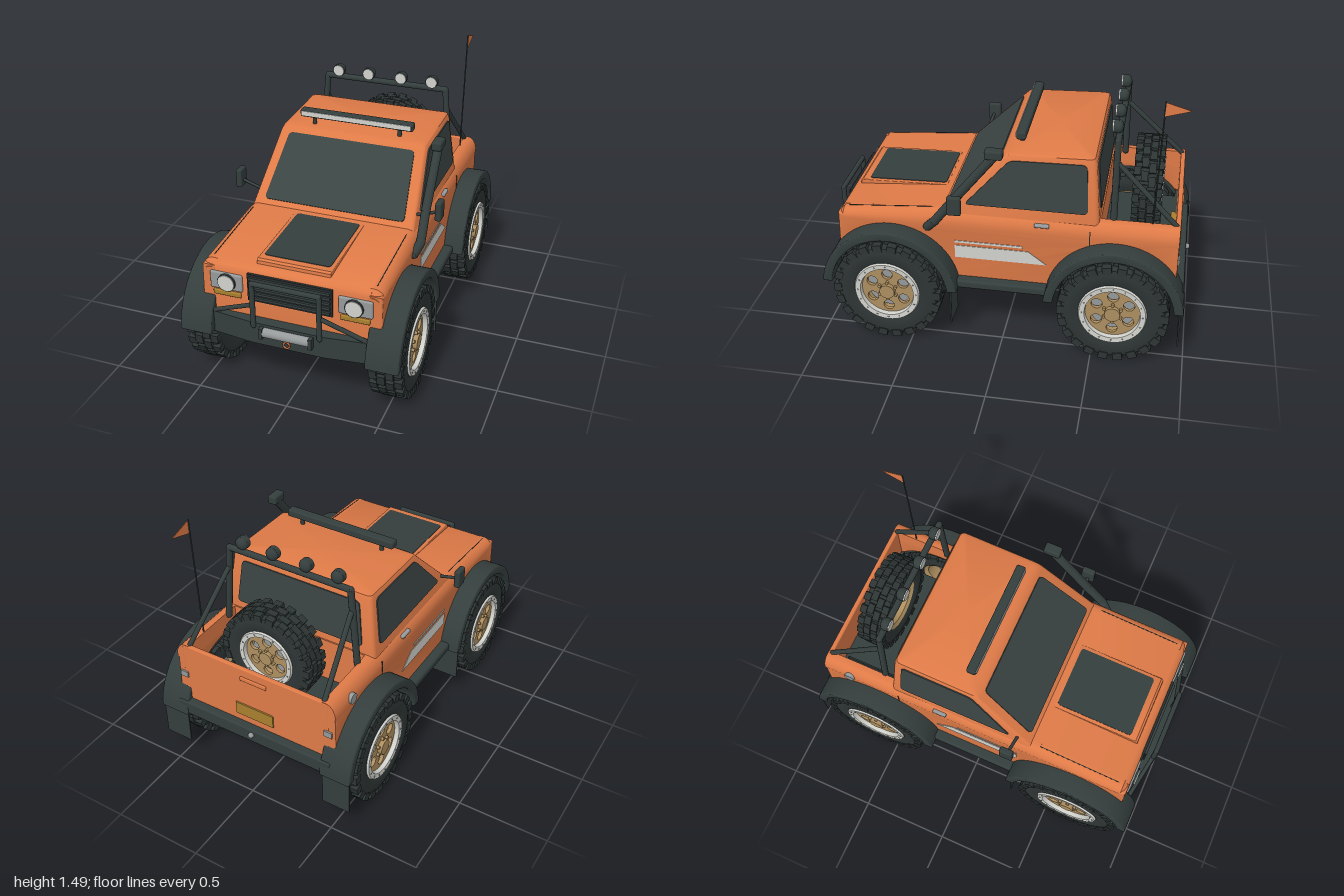
import * as THREE from 'three';
import { mergeGeometries, toCreasedNormals } from 'three/addons/utils/BufferGeometryUtils.js';
import { RoundedBoxGeometry } from 'three/addons/geometries/RoundedBoxGeometry.js';

const mat = (name, hex, side = THREE.FrontSide) => {
  const m = new THREE.MeshStandardMaterial({ color: hex, side });
  m.name = name;
  return m;
};
const V = (p) => new THREE.Vector3(...p);
const shapeOf = (pts) => new THREE.Shape(pts.map((p) => new THREE.Vector2(...p)));

export function createModel() {
  const model = new THREE.Group();
  model.name = 'pickupTruck';
  const paint = mat('orangePaint', 0xde7a47, THREE.DoubleSide), trim = mat('darkTrim', 0x343e3d);
  const rubber = mat('tyreRubber', 0x2d3534), glass = mat('darkGlass', 0x3a4443);
  const tan = mat('tanRim', 0xae8f60, THREE.DoubleSide), silver = mat('silver', 0x969a9a);
  const white = mat('lightGrey', 0xd2d2cd), amber = mat('amber', 0xa8802f), under = mat('underbody', 0x262c2d);

  const add = (name, geo, m, parent = model) => {
    const mesh = new THREE.Mesh(geo, m);
    mesh.name = name;
    parent.add(mesh);
    return mesh;
  };
  // Box given by its limits on each axis
  const box = (name, [x0, x1], [y0, y1], [z0, z1], m, r = 0) => {
    const s = [x1 - x0, y1 - y0, z1 - z0];
    const g = r ? new RoundedBoxGeometry(...s, 2, r) : new THREE.BoxGeometry(...s);
    return add(name, g.translate((x0 + x1) / 2, (y0 + y1) / 2, (z0 + z1) / 2), m);
  };
  // Round bars along a polyline, with ball joints
  const bars = (name, pts, r, m) => {
    const parts = [];
    pts.map(V).forEach((p, i, all) => {
      parts.push(new THREE.SphereGeometry(r, 10, 8).translate(p.x, p.y, p.z));
      if (!i) return;
      const d = p.clone().sub(all[i - 1]), mid = p.clone().add(all[i - 1]).multiplyScalar(0.5);
      const q = new THREE.Quaternion().setFromUnitVectors(V([0, 1, 0]), d.clone().normalize());
      parts.push(new THREE.CylinderGeometry(r, r, d.length(), 12).applyQuaternion(q).translate(mid.x, mid.y, mid.z));
    });
    return add(name, mergeGeometries(parts), m);
  };
  const disc = (r, depth, x, y, z, n = 24) =>
    new THREE.CylinderGeometry(r, r, depth, n).rotateX(Math.PI / 2).translate(x, y, z);
  // Side outline (z, y) extruded across x
  const extrudeX = (pts, x0, x1, bevel = 0) => {
    const g = new THREE.ExtrudeGeometry(shapeOf(pts), {
      depth: x1 - x0 - 2 * bevel, bevelEnabled: bevel > 0, bevelSize: bevel, bevelThickness: bevel, bevelOffset: -bevel, bevelSegments: 3,
    });
    return toCreasedNormals(g.rotateY(-Math.PI / 2).translate(x1 - bevel, 0, 0), 0.6);
  };
  // Thin flat plate with rounded corners, counterclockwise from outside
  const plate = (name, corners, m, r = 0.02, depth = 0.007) => {
    const p = corners.map(V), u = p[1].clone().sub(p[0]).normalize();
    const n = u.clone().cross(p[2].clone().sub(p[0])).normalize(), v = n.clone().cross(u);
    const f = p.map((c) => c.clone().sub(p[0])).map((c) => new THREE.Vector2(c.dot(u), c.dot(v)));
    const s = new THREE.Shape();
    f.forEach((c, i) => {
      const step = (o) => c.clone().add(o.clone().sub(c).setLength(r));
      const a = step(f[(i + f.length - 1) % f.length]), b = step(f[(i + 1) % f.length]);
      if (i) s.lineTo(a.x, a.y); else s.moveTo(a.x, a.y);
      s.quadraticCurveTo(c.x, c.y, b.x, b.y);
    });
    s.closePath();
    const g = new THREE.ExtrudeGeometry(s, { depth, bevelEnabled: false, curveSegments: 5 });
    return add(name, g.applyMatrix4(new THREE.Matrix4().makeBasis(u, v, n).setPosition(p[0])), m);
  };
  const sidePlate = (name, pts, s, m, r) => {
    const p = pts.map(([x, y, z]) => [s * x, y, z]);
    return plate(name, s > 0 ? p : p.reverse(), m, r);
  };
  const arc = (cz, r, a0, a1, n = 20) => Array.from({ length: n + 1 }, (_, i) => {
    const a = a0 + (a1 - a0) * i / n;
    return [cz + r * Math.cos(a), 0.31 + r * Math.sin(a)];
  });
  const FRONT = 0.625, REAR = -0.61;

  // Lower body sides with open wheel arches
  const sideOutline = [[-0.93, 0.72], [0.905, 0.72], ...arc(FRONT, 0.35, 0.63, 2.97), ...arc(REAR, 0.35, 0.17, 2.73)].reverse();
  for (const x of [-0.487, 0.412]) add('bodySide', extrudeX(sideOutline, x, x + 0.075, 0.012), paint);
  // Rounded shoulders, dropping along the hood and tucked in at the nose
  const hoodY = (z) => 0.787 - Math.max(0, z - 0.36) * 0.0765 - 26 * Math.max(0, z - 0.87) ** 2;
  const section = [[0.412, 0.69], [0.487, 0.69], [0.489, 0.715], [0.484, 0.74], [0.472, 0.765], [0.454, 0.782], [0.435, 0.787], [0.412, 0.787]];
  for (const s of [-1, 1]) {
    const pts = section.map(([x, y]) => [s * x, y]);
    const g = new THREE.ExtrudeGeometry(shapeOf(pts), { depth: 1.837, steps: 60, bevelEnabled: false }).translate(0, 0, -0.93);
    const p = g.attributes.position;
    for (let i = 0; i < p.count; i++) {
      const z = p.getZ(i), t = Math.min(1, Math.max(0, (z - 0.865) / 0.045));
      const out = Math.abs(p.getX(i)) - 0.412;
      p.setXY(i, s * (0.412 + out * (1 - 0.35 * t * t)), 0.69 + (p.getY(i) - 0.69) * (hoodY(z) - 0.69) / 0.097);
    }
    add('bodyShoulder', toCreasedNormals(g, 0.6), paint);
  }
  // Cab base, engine bay and nose
  add('bodyCentre', extrudeX([[-0.517, 0.4], [0.28, 0.4], [0.28, 0.62], [0.8, 0.62], [0.8, 0.44], [0.907, 0.44],
    [0.907, 0.71], [0.895, 0.73], [0.87, 0.748], [0.36, 0.787], [-0.517, 0.787]], -0.425, 0.425), paint);
  add('hoodBulge', extrudeX([[0.36, 0.76], [0.86, 0.73], [0.857, 0.767], [0.845, 0.776], [0.36, 0.788]], -0.2, 0.2, 0.004), paint);
  plate('hoodPanel', [[-0.18, 0.775, 0.81], [0.18, 0.775, 0.81], [0.18, 0.786, 0.37], [-0.18, 0.786, 0.37]], trim, 0.02, 0.005);

  // Cab: stacked rounded rings, roof rising to the rear
  const rings = [[0.76, 0.76, 0.467, 0.355, -0.512], [1.1, 1.11, 0.425, 0.015, -0.482],
    [1.12, 1.132, 0.417, -0.005, -0.472], [1.128, 1.142, 0.398, -0.03, -0.447]];
  const pos = [], idx = [], N = 24;
  rings.forEach(([yf, yr, w, zf, zr], k) => {
    for (let i = 0; i < N; i++) {
      const q = Math.floor(i / 6), a = (q + (i % 6) / 5) * Math.PI / 2, r = 0.025;
      const cx = (q === 0 || q === 3 ? 1 : -1) * (w - r), cz = q < 2 ? zf - r : zr + r;
      const z = cz + r * Math.sin(a);
      pos.push(cx + r * Math.cos(a), yr + (yf - yr) * (z - zr) / (zf - zr), z);
      const j = k * N + i, jn = k * N + (i + 1) % N;
      if (k < rings.length - 1) idx.push(j, j + N, jn, jn, j + N, jn + N);
    }
  });
  const top = (rings.length - 1) * N, centre = pos.length / 3;
  pos.push(0, 1.136, -0.24);
  for (let i = 0; i < N; i++) idx.push(centre, top + (i + 1) % N, top + i);
  const cabGeo = new THREE.BufferGeometry();
  cabGeo.setAttribute('position', new THREE.Float32BufferAttribute(pos, 3));
  cabGeo.setIndex(idx);
  add('cab', toCreasedNormals(cabGeo, 0.6), paint);

  // Windows
  const wx = (y) => 0.467 - (y - 0.76) * 0.1235, wf = (y) => 0.355 - (y - 0.76), wr = (y) => -0.512 + (y - 0.76) * 0.086;
  plate('windscreen', [[-0.402, 0.81, wf(0.81)], [0.402, 0.81, wf(0.81)], [0.365, 1.095, wf(1.095)], [-0.365, 1.095, wf(1.095)]], glass, 0.025);
  plate('rearWindow', [[0.39, 0.83, wr(0.83)], [-0.39, 0.83, wr(0.83)], [-0.36, 1.09, wr(1.09)], [0.36, 1.09, wr(1.09)]], glass, 0.025);

  // Grille
  box('grille', [-0.23, 0.23], [0.56, 0.715], [0.89, 0.918], under);
  for (let i = 0; i < 5; i++) box('grilleSlat', [-0.22, 0.22], [0.575 + i * 0.028, 0.589 + i * 0.028], [0.91, 0.93], trim);

  for (const s of [-1, 1]) {
    const span = (a, b) => (s > 0 ? [a, b] : [-b, -a]);
    // Side glass, stripes and door details
    sidePlate('sideWindow', [[wx(0.83), 0.83, 0.21], [wx(0.83), 0.83, -0.45], [wx(1.1), 1.103, -0.435], [wx(1.1), 1.095, -0.03]], s, glass, 0.03);
    sidePlate('stripeBlock', [[0.483, 0.51, 0.26], [0.483, 0.51, -0.24], [0.483, 0.585, -0.14], [0.483, 0.585, 0.26]], s, white, 0.002);
    sidePlate('stripeLine', [[0.483, 0.603, 0.26], [0.483, 0.603, -0.11], [0.483, 0.615, -0.105], [0.483, 0.615, 0.26]], s, white, 0.001);
    box('doorHandle', span(0.465, 0.495), [0.742, 0.76], [-0.25, -0.17], silver, 0.006);
    box('doorSeam', span(0.475, 0.4895), [0.66, 0.74], [-0.468, -0.463], under);
    plate('hoodSeam', [[s * 0.44 - 0.002, 0.786, 0.38], [s * 0.44 + 0.002, 0.786, 0.38],
      [s * 0.44 + 0.002, 0.75, 0.85], [s * 0.44 - 0.002, 0.75, 0.85]].reverse(), under, 0.0005, 0.002);
    // Wheel arch flares, sill and mud flaps
    for (const z of [FRONT, REAR]) {
      const cz = z === FRONT ? 0.612 : REAR, fz = z === FRONT ? 0.27 : -0.965;
      const pts = [...arc(cz, 0.376, 0.09, Math.PI - 0.09, 32), ...arc(cz, 0.325, Math.PI - 0.1, 0.1, 32)];
      add('archFlare', extrudeX(pts, ...span(0.42, 0.598), 0.008), trim);
      box('mudFlap', span(0.43, 0.59), [0.14, 0.36], [fz - 0.004, fz + 0.004], trim);
    }
    box('sill', span(0.4, 0.54), [0.34, 0.39], [-0.25, 0.28], trim, 0.015);
    // Headlights and indicators
    box('headlightBezel', span(0.26, 0.44), [0.592, 0.692], [0.89, 0.918], silver, 0.01);
    add('headlightRing', disc(0.05, 0.02, s * 0.345, 0.64, 0.917), trim);
    add('headlightLens', disc(0.045, 0.024, s * 0.345, 0.64, 0.92), white);
    box('indicator', span(0.27, 0.425), [0.556, 0.585], [0.89, 0.918], amber, 0.006);
    box('tailLight', span(0.425, 0.472), [0.575, 0.61], [-0.94, -0.92], silver);
    // Mirrors
    bars('mirrorArm', [[s * 0.45, 0.838, 0.25], [s * 0.57, 0.872, 0.24]], 0.009, trim);
    box('mirror', span(0.557, 0.592), [0.83, 0.937], [0.2, 0.275], trim, 0.01);
    // Bull bar and roll bar sides
    bars('bullBarPost', [[s * 0.18, 0.45, 0.97], [s * 0.18, 0.7, 0.972]], 0.014, trim);
    bars('bullBarBrace', [[s * 0.18, 0.575, 0.97], [s * 0.42, 0.465, 0.93]], 0.012, trim);
    bars('rollBarLeg', [[s * 0.405, 0.77, -0.58], [s * 0.365, 1.225, -0.58]], 0.018, trim);
    bars('rollBarBrace', [[s * 0.375, 1.1, -0.59], [s * 0.415, 0.78, -0.91]], 0.014, trim);
    bars('lightBarFoot', [[s * 0.25, 1.12, -0.07], [s * 0.25, 1.18, -0.07]], 0.012, trim);
    for (const x of [0.1, 0.287]) {
      add('roofLamp', new THREE.SphereGeometry(0.036, 16, 8).scale(1, 1, 0.7).translate(s * x, 1.27, -0.576), trim);
      add('roofLampRim', disc(0.036, 0.025, s * x, 1.27, -0.562), trim);
      add('roofLampLens', disc(0.032, 0.01, s * x, 1.27, -0.548), white);
    }
  }
  bars('bullBarTop', [[-0.18, 0.7, 0.972], [0.18, 0.7, 0.972]], 0.014, trim);
  bars('rollBarTop', [[-0.365, 1.225, -0.58], [0.365, 1.225, -0.58]], 0.018, trim);
  box('lightBar', [-0.33, 0.33], [1.168, 1.212], [-0.1, -0.048], trim, 0.01);
  box('lightBarLens', [-0.32, 0.32], [1.178, 1.204], [-0.05, -0.044], white);

  // Front bumper, winch and tow ring
  const plan = [[-0.45, 0.86], [0.45, 0.86], [0.45, 0.935], [0.2, 0.965], [-0.2, 0.965], [-0.45, 0.935]];
  const bumper = new THREE.ExtrudeGeometry(shapeOf(plan), { depth: 0.125, bevelEnabled: false });
  add('frontBumper', bumper.rotateX(Math.PI / 2).translate(0, 0.463, 0), trim);
  add('winch', new THREE.CylinderGeometry(0.027, 0.027, 0.26, 16).rotateZ(Math.PI / 2).translate(0, 0.42, 0.968), silver);
  for (const x of [-0.135, 0.135]) box('winchEnd', [x - 0.01, x + 0.01], [0.39, 0.45], [0.94, 0.995], trim);
  add('towRing', new THREE.TorusGeometry(0.017, 0.005, 8, 16).translate(0, 0.37, 0.972), paint);

  // Load bed, tailgate and rear bumper
  box('bedFloor', [-0.33, 0.33], [0.49, 0.53], [-0.91, -0.5], trim);
  for (const z of [-0.907, -0.555]) box('bedCrossMember', [-0.412, 0.412], [0.49, 0.53], [z, z + 0.018], trim);
  box('tailgate', [-0.45, 0.45], [0.42, 0.785], [-0.932, -0.905], paint, 0.008);
  box('tailgateHandle', [-0.08, 0.08], [0.71, 0.735], [-0.94, -0.925], paint, 0.005);
  box('rearPlate', [-0.115, 0.115], [0.475, 0.55], [-0.94, -0.875], amber);
  box('rearBumper', [-0.48, 0.48], [0.345, 0.43], [-0.975, -0.89], trim, 0.012);
  add('hitchBall', new THREE.SphereGeometry(0.016, 12, 8).translate(0, 0.4, -0.98), silver);
  add('fuelCap', new THREE.CylinderGeometry(0.03, 0.03, 0.03, 20).rotateZ(Math.PI / 2).translate(-0.485, 0.725, -0.77), silver);

  // Underbody
  box('chassis', [-0.34, 0.34], [0.36, 0.5], [-0.91, 0.88], under);
  box('engineUnderside', [-0.34, 0.34], [0.5, 0.63], [0.27, 0.82], under);
  box('floorPan', [-0.46, 0.46], [0.36, 0.41], [-0.26, 0.28], under);

  // Snorkel, aerial and pennant
  bars('snorkel', [[0.49, 0.69, 0.405], [0.512, 0.74, 0.36], [0.505, 0.87, 0.26], [0.5, 1.16, 0.03]], 0.025, trim);
  box('snorkelHead', [0.472, 0.528], [1.14, 1.192], [-0.01, 0.085], trim, 0.012);
  bars('aerial', [[0.42, 0.78, -0.785], [0.428, 1.49, -0.805]], 0.004, trim);
  plate('pennant', [[0.428, 1.41, -0.803], [0.428, 1.45, -0.935], [0.428, 1.488, -0.805]], paint, 0.002, 0.003);

  // Wheel, facing +z: tyre, tread blocks, clamp ring and drilled rim
  const lathe = (pts, n = 48) => toCreasedNormals(
    new THREE.LatheGeometry(pts.map((p) => new THREE.Vector2(...p)), n).rotateX(Math.PI / 2), 0.5);
  const tyre = lathe([[0.165, -0.07], [0.19, -0.084], [0.245, -0.088], [0.275, -0.08], [0.284, -0.06],
    [0.284, 0.06], [0.275, 0.08], [0.245, 0.088], [0.19, 0.084], [0.165, 0.07]]);
  const blocks = [];
  for (let i = 0; i < 22; i++) {
    [-0.068, -0.023, 0.023, 0.068].forEach((z, k) => {
      const shoulder = k === 0 || k === 3;
      const g = new THREE.BoxGeometry(shoulder ? 0.05 : 0.062, shoulder ? 0.042 : 0.026, 0.042);
      blocks.push(g.translate(0, shoulder ? 0.278 : 0.288, z).rotateZ((i + [0, 0.35, 0.75, 0.5][k]) * Math.PI / 11));
    });
  }
  const tread = mergeGeometries(blocks);
  const clamp = lathe([[0.184, 0.08], [0.178, 0.092], [0.15, 0.09], [0.145, 0.06]]);
  const barrel = lathe([[0.172, -0.075], [0.15, -0.06], [0.148, 0.075]]);
  const face = new THREE.Shape().absarc(0, 0, 0.15, 0, Math.PI * 2);
  const bolts = [disc(0.042, 0.03, 0, 0, 0.075, 20)], clampBolts = [];
  for (let i = 0; i < 6; i++) {
    const a = (i + 0.5) * Math.PI / 3, c = Math.cos(a), d = Math.sin(a);
    face.holes.push(new THREE.Path().absarc(c * 0.1, d * 0.1, 0.03, 0, Math.PI * 2, true));
    bolts.push(disc(0.009, 0.02, c * 0.052, d * 0.052, 0.07, 8));
  }
  for (let i = 0; i < 16; i++) clampBolts.push(disc(0.005, 0.008, Math.cos(i * Math.PI / 8) * 0.164, Math.sin(i * Math.PI / 8) * 0.164, 0.09, 6));
  const rim = new THREE.ExtrudeGeometry(face, { depth: 0.02, bevelEnabled: false, curveSegments: 16 }).translate(0, 0, 0.045);
  const wheel = (name, x, y, z, turn, scale = 1) => {
    const g = new THREE.Group();
    g.name = name;
    add('tyre', tyre, rubber, g);
    add('treadBlocks', tread, rubber, g);
    add('clampRing', clamp, white, g);
    add('clampBolts', mergeGeometries(clampBolts), silver, g);
    add('rimBarrel', barrel, tan, g);
    add('rimFace', rim, tan, g);
    add('hub', mergeGeometries(bolts), tan, g);
    add('brakeDisc', disc(0.128, 0.012, 0, 0, 0.015, 32), silver, g);
    g.position.set(x, y, z);
    g.rotation.y = turn;
    g.scale.setScalar(scale);
    model.add(g);
  };
  for (const z of [FRONT, REAR])
    for (const s of [-1, 1]) wheel(z > 0 ? 'frontWheel' : 'rearWheel', s * 0.508, 0.306, z, s * Math.PI / 2);
  wheel('spareWheel', 0, 0.8, -0.74, Math.PI, 0.89);
  return model;
}
